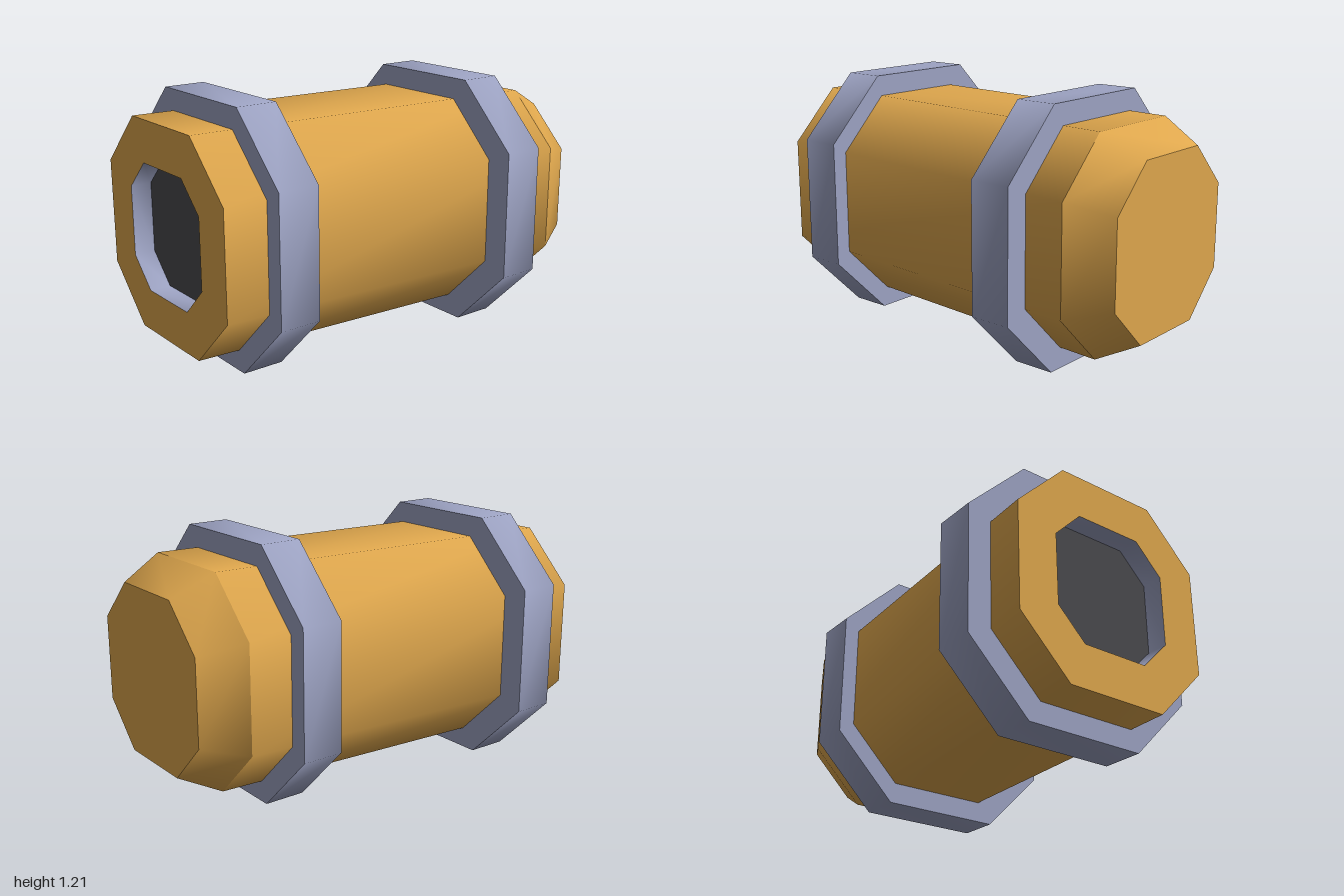
import * as THREE from 'three';

const CY = 0.606;          // height of the barrel axis
const X_FRONT = -0.061;    // the axis drifts sideways from front to back
const X_BACK = 0.058;

const orange = new THREE.MeshStandardMaterial({ color: 0xdfa74d });
orange.name = 'orange shell';
const greyBlue = new THREE.MeshStandardMaterial({ color: 0x9da3c3 });
greyBlue.name = 'grey blue bands';
const dark = new THREE.MeshStandardMaterial({ color: 0x4a4a4e });
dark.name = 'dark recess';

// Chamfered square, counter-clockwise: half = half width, edge = half flat length
function octagon(half, edge) {
  return [
    [half, -edge], [half, edge], [edge, half], [-edge, half],
    [-half, edge], [-half, -edge], [-edge, -half], [edge, -half],
  ].map(([x, y]) => new THREE.Vector2(x, y));
}

// Smooth wall between two octagons, front {x, z, pts} to back {x, z, pts}
function wall(name, front, back, material, inward = false) {
  const positions = [];
  const index = [];
  for (const s of [front, back]) {
    for (const p of s.pts) positions.push(p.x + s.x, p.y + CY, s.z);
  }
  for (let i = 0; i < 8; i++) {
    const j = (i + 1) % 8;
    const quad = [i, i + 8, j + 8, i, j + 8, j];
    index.push(...(inward ? quad.reverse() : quad));
  }
  const geometry = new THREE.BufferGeometry();
  geometry.setAttribute('position', new THREE.Float32BufferAttribute(positions, 3));
  geometry.setIndex(index);
  geometry.computeVertexNormals();
  const mesh = new THREE.Mesh(geometry, material);
  mesh.name = name;
  return mesh;
}

// Flat octagonal face, optionally with an octagonal opening
function face(name, x, z, pts, material, { hole = null, back = false } = {}) {
  const shape = new THREE.Shape(pts);
  if (hole) shape.holes.push(new THREE.Path(hole));
  const mesh = new THREE.Mesh(new THREE.ShapeGeometry(shape), material);
  mesh.position.set(x, CY, z);
  if (back) mesh.rotation.y = Math.PI;
  mesh.name = name;
  return mesh;
}

// Raised band around the barrel
function band(name, x, zFront) {
  const group = new THREE.Group();
  group.name = name;
  const pts = octagon(0.606, 0.303);
  const hole = octagon(0.46, 0.23);
  const zBack = zFront - 0.2;
  group.add(
    wall('bandRim', { x, z: zFront, pts }, { x, z: zBack, pts }, greyBlue),
    face('bandFront', x, zFront, pts, greyBlue, { hole }),
    face('bandBack', x, zBack, pts, greyBlue, { hole, back: true }),
  );
  return group;
}

export function createModel() {
  const model = new THREE.Group();
  model.name = 'barrel';
  const body = octagon(0.505, 0.253);
  const tail = octagon(0.404, 0.202);
  const bore = octagon(0.304, 0.167);

  // Slanted shell with a tapered tail
  model.add(
    wall('shell', { x: X_FRONT, z: 1, pts: body }, { x: X_BACK, z: -0.8, pts: body }, orange),
    wall('tailTaper', { x: X_BACK, z: -0.8, pts: body }, { x: X_BACK, z: -1, pts: tail }, orange),
    face('tailCap', X_BACK, -1, tail, orange, { back: true }),
    face('frontFace', X_FRONT, 1, body, orange, { hole: bore }),
  );

  // Shallow recess in the front
  model.add(
    wall('recessWall', { x: X_FRONT, z: 1, pts: bore }, { x: X_FRONT, z: 0.9, pts: bore }, greyBlue, true),
    face('recessFloor', X_FRONT, 0.9, bore, dark),
  );

  // Two bands
  model.add(band('frontBand', X_FRONT, 0.8), band('backBand', X_BACK, -0.4));
  return model;
}
